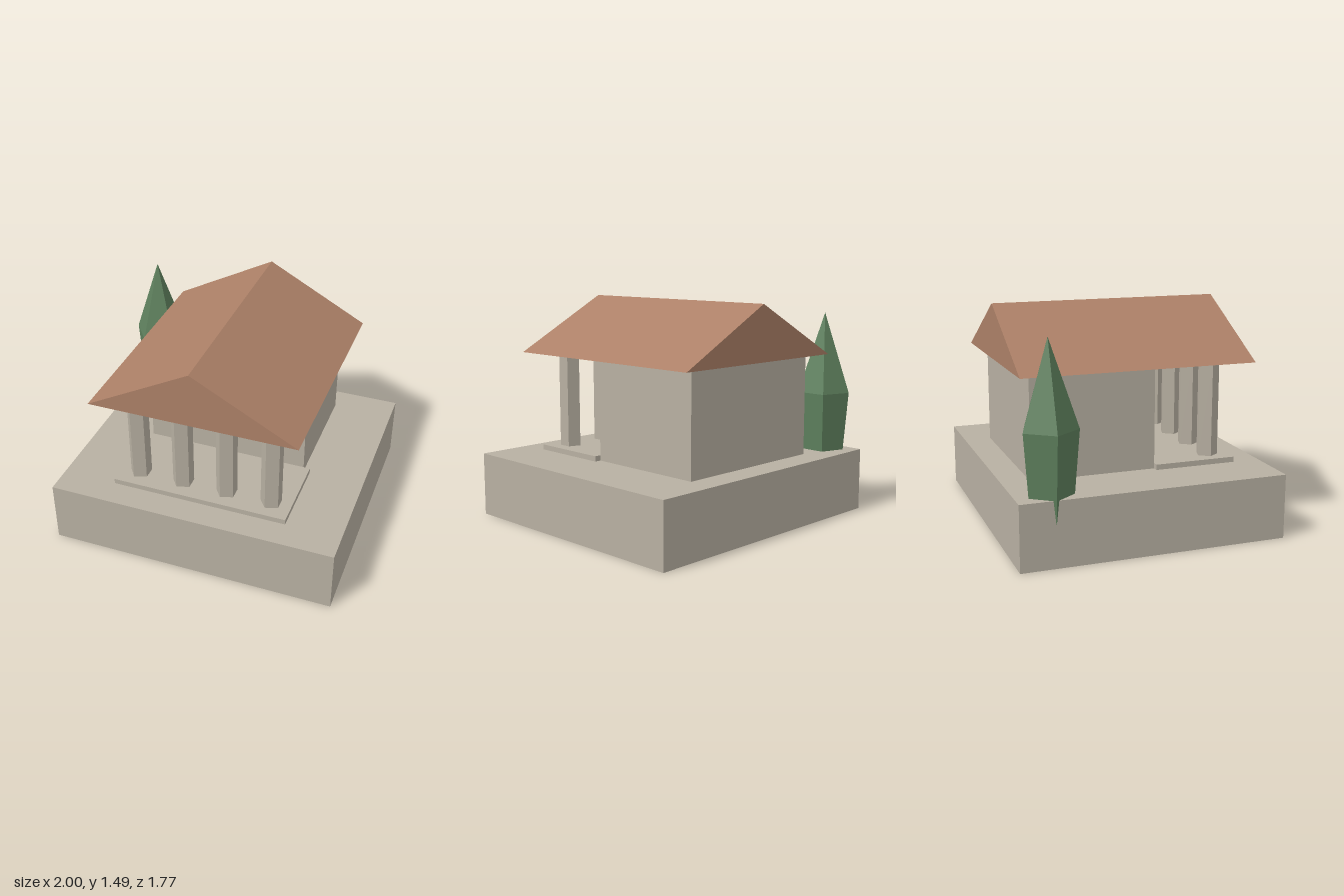
import * as THREE from 'three';

function material(name, color) {
  const m = new THREE.MeshStandardMaterial({ color, flatShading: true });
  m.name = name;
  return m;
}

export function createModel() {
  const group = new THREE.Group();
  group.name = 'temple';
  const stone = material('stone', 0xb8b0a2);
  const tile = material('roofTile', 0xac8067);
  const leaf = material('leaf', 0x5e805d);

  const add = (name, geometry, mat) => {
    const mesh = new THREE.Mesh(geometry, mat);
    mesh.name = name;
    group.add(mesh);
    return mesh;
  };
  // Box given by its minimum and maximum corners
  const block = (name, [x0, y0, z0], [x1, y1, z1]) =>
    add(name, new THREE.BoxGeometry(x1 - x0, y1 - y0, z1 - z0), stone)
      .position.set((x0 + x1) / 2, (y0 + y1) / 2, (z0 + z1) / 2);

  const eaves = 1.12;
  const axis = 0.02; // the building sits slightly off centre

  block('base', [-0.955, 0, -0.885], [1, 0.43, 0.885]);
  block('porchStep', [-0.58, 0.43, 0.14], [0.625, 0.466, 0.7]);
  block('hall', [-0.54, 0.43, -0.7], [0.58, eaves, 0.14]);

  // Row of five-sided columns, one corner towards -x
  const height = eaves - 0.466;
  const columnGeometry = new THREE.CylinderGeometry(0.074, 0.074, height, 5, 1, false, -Math.PI / 2);
  for (let i = 0; i < 4; i++) {
    add('column' + (i + 1), columnGeometry, stone)
      .position.set(axis + (i - 1.5) * 0.31, 0.466 + height / 2, 0.56);
  }

  // Gabled roof as an extruded triangle
  const gable = new THREE.Shape([
    new THREE.Vector2(-0.695, eaves),
    new THREE.Vector2(0.695, eaves),
    new THREE.Vector2(0, 1.49),
  ]);
  add('roof', new THREE.ExtrudeGeometry(gable, { depth: 1.58, bevelEnabled: false }), tile)
    .position.set(axis, 0, -0.79);

  // Five-sided tree, partly sunk into the base corner
  const treeProfile = [[0, 0.28], [0.141, 0.28], [0.185, 0.835], [0, 1.39]]
    .map(([r, y]) => new THREE.Vector2(r, y));
  add('tree', new THREE.LatheGeometry(treeProfile, 5, -Math.PI / 2), leaf)
    .position.set(-0.815, 0, -0.655);

  return group;
}
